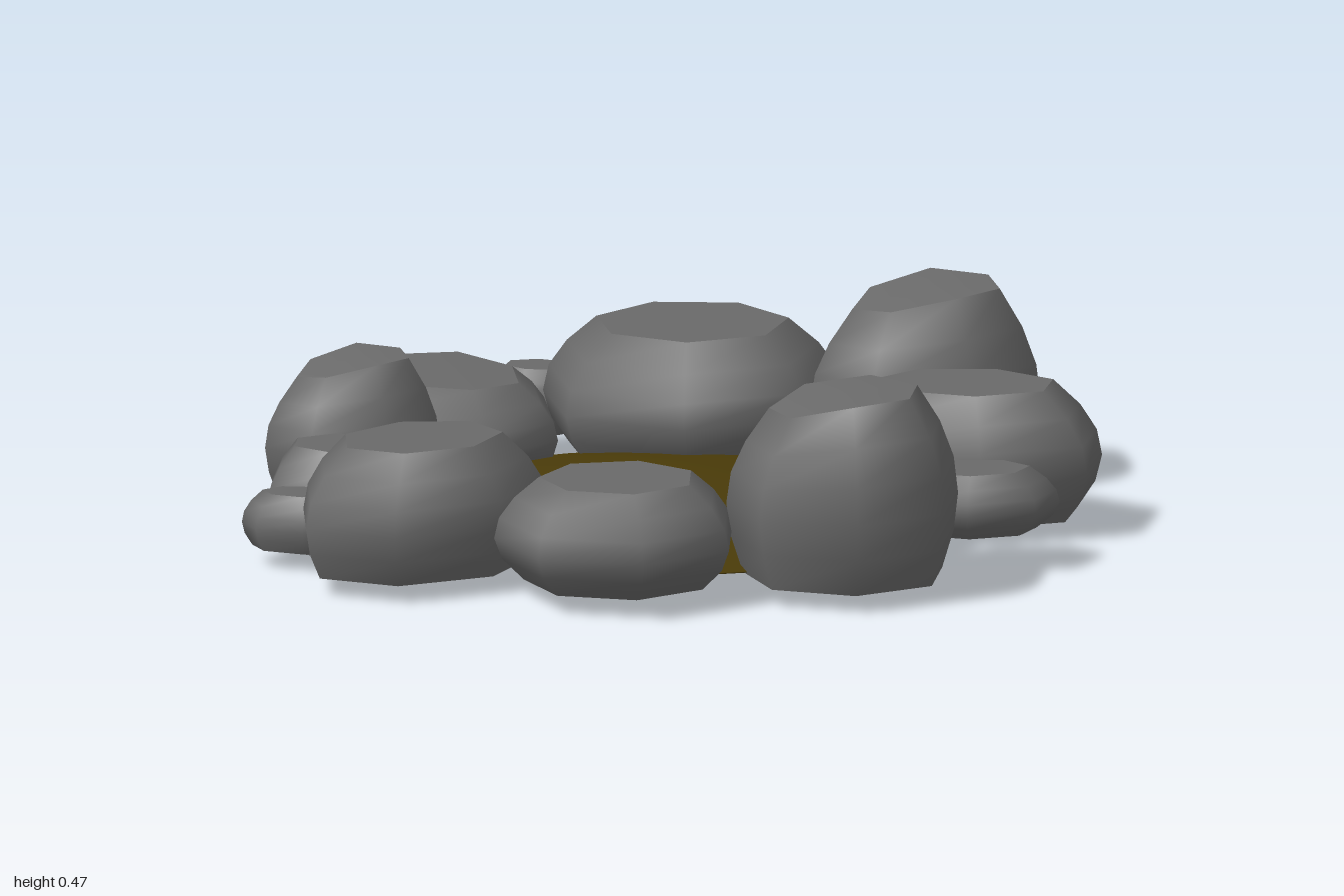
import * as THREE from 'three';

const stoneGrey = new THREE.MeshStandardMaterial({ color: 0x6a6a6a });
stoneGrey.name = 'stone grey';
const earthBrown = new THREE.MeshStandardMaterial({ color: 0x4a3b09 });
earthBrown.name = 'earth brown';

const SIDES = 7;
const RINGS = 6;

// Width of a stone at height fraction f: widest at 0.42, narrowing to its base and to its flat top
function widthAt(f, base) {
  const t = (f - 0.42) / (f < 0.42 ? 0.42 : 0.58);
  return f < 0.42 ? 1 - (1 - base) * t * t : 1 - 0.36 * t ** 1.9;
}

// Seven-sided boulder on an elliptical plan: smooth rounded sides, crisp flat caps.
// yaw and phase are in degrees; slope lowers the -x side (or the +x side if negative) of the top.
function makeStone(name, x, z, rx, rz, bottom, top, { yaw = 0, phase = 180, base = 0.82, slope = 0 } = {}) {
  const turn = THREE.MathUtils.degToRad(yaw), start = THREE.MathUtils.degToRad(phase);
  const pos = [], idx = [];

  const addRing = (f) => {
    const w = widthAt(f, base);
    for (let i = 0; i < SIDES; i++) {
      const angle = start + (i / SIDES) * Math.PI * 2;
      const u = rx * w * Math.cos(angle), v = rz * w * Math.sin(angle);
      const dx = u * Math.cos(turn) - v * Math.sin(turn);
      const dz = u * Math.sin(turn) + v * Math.cos(turn);
      const drop = Math.min(0, slope * dx) * f * f;
      pos.push(x + dx, bottom + (top - bottom) * f + drop, z + dz);
    }
  };

  // Sides
  for (let k = 0; k < RINGS; k++) addRing(k / (RINGS - 1));
  for (let k = 0; k < RINGS - 1; k++) {
    for (let i = 0; i < SIDES; i++) {
      const a = k * SIDES + i, b = k * SIDES + ((i + 1) % SIDES);
      idx.push(b, a, a + SIDES, b, a + SIDES, b + SIDES);
    }
  }

  // Caps have their own vertices so their edges stay sharp
  for (const f of [0, 1]) {
    const first = pos.length / 3;
    addRing(f);
    const centre = first + SIDES;
    pos.push(x, f ? top : bottom, z);
    for (let i = 0; i < SIDES; i++) {
      const a = first + i, b = first + ((i + 1) % SIDES);
      if (f) idx.push(centre, b, a);
      else idx.push(centre, a, b);
    }
  }

  const geo = new THREE.BufferGeometry();
  geo.setAttribute('position', new THREE.Float32BufferAttribute(pos, 3));
  geo.setIndex(idx);
  geo.computeVertexNormals();
  const mesh = new THREE.Mesh(geo, stoneGrey);
  mesh.name = name;
  return mesh;
}

// Low earth mound, hollowed in the middle of its underside, with a rim that lifts into the stones
function makeGround() {
  const R = 0.655, steps = 16, profile = [];
  for (let i = 0; i <= steps; i++) {
    const t = i / steps;
    const hollow = 0.08 * Math.exp(-((R * t / 0.17) ** 2));
    profile.push(new THREE.Vector2(R * t, 0.034 + 0.011 * t ** 4 + hollow));
  }
  for (let i = steps; i >= 0; i--) {
    const t = i / steps;
    profile.push(new THREE.Vector2(R * t, 0.048 + 0.077 * (1 - t * t)));
  }
  const mesh = new THREE.Mesh(new THREE.LatheGeometry(profile, 40), earthBrown);
  mesh.name = 'earthMound';
  mesh.position.set(0, 0, 0.03);
  return mesh;
}

export function createModel() {
  const model = new THREE.Group();
  model.name = 'stoneRing';
  model.add(
    makeGround(),
    // Back stones
    makeStone('backLargeStone', 0.185, -0.64, 0.352, 0.35, 0.04, 0.34, { phase: 0 }),
    makeStone('backLeaningStone', -0.378, -0.635, 0.262, 0.338, 0.03, 0.25, { phase: 187, slope: -0.08 }),
    makeStone('backRightStone', 0.68, -0.355, 0.27, 0.27, 0.04, 0.47, { slope: 0.3, base: 0.84 }),
    makeStone('backCornerStone', -0.66, -0.295, 0.205, 0.2, 0.04, 0.37, { slope: 0.35, base: 0.84 }),
    // Side stones
    makeStone('sideLargeStone', 0.69, 0.1, 0.33, 0.235, 0.04, 0.34, { yaw: 20 }),
    makeStone('sideStone', -0.74, 0.04, 0.193, 0.16, 0, 0.24, { yaw: 20, phase: -5, base: 0.85 }),
    // Front stones
    makeStone('frontTallStone', 0.3, 0.713, 0.273, 0.27, 0.04, 0.47, { phase: -9, slope: 0.27, base: 0.86 }),
    makeStone('frontLowStone', -0.22, 0.683, 0.284, 0.285, 0.04, 0.28, { phase: -14, base: 0.76 }),
    makeStone('frontCornerStone', -0.633, 0.425, 0.322, 0.247, 0.04, 0.335, { yaw: -30, phase: -20, base: 0.88 }),
    // Pebbles in the gaps
    makeStone('sidePebble', -0.875, 0.215, 0.137, 0.09, 0.04, 0.17, { yaw: 25 }),
    makeStone('gapPebble', 0.495, 0.3, 0.125, 0.088, 0.03, 0.17, { yaw: 40 }),
    makeStone('outerPebble', 0.64, 0.505, 0.195, 0.137, 0.085, 0.23, { phase: 0, base: 0.72 }),
    makeStone('backPebble', -0.125, -0.875, 0.13, 0.09, 0.05, 0.2, { yaw: 25, phase: 0, base: 0.75 }),
  );
  return model;
}
